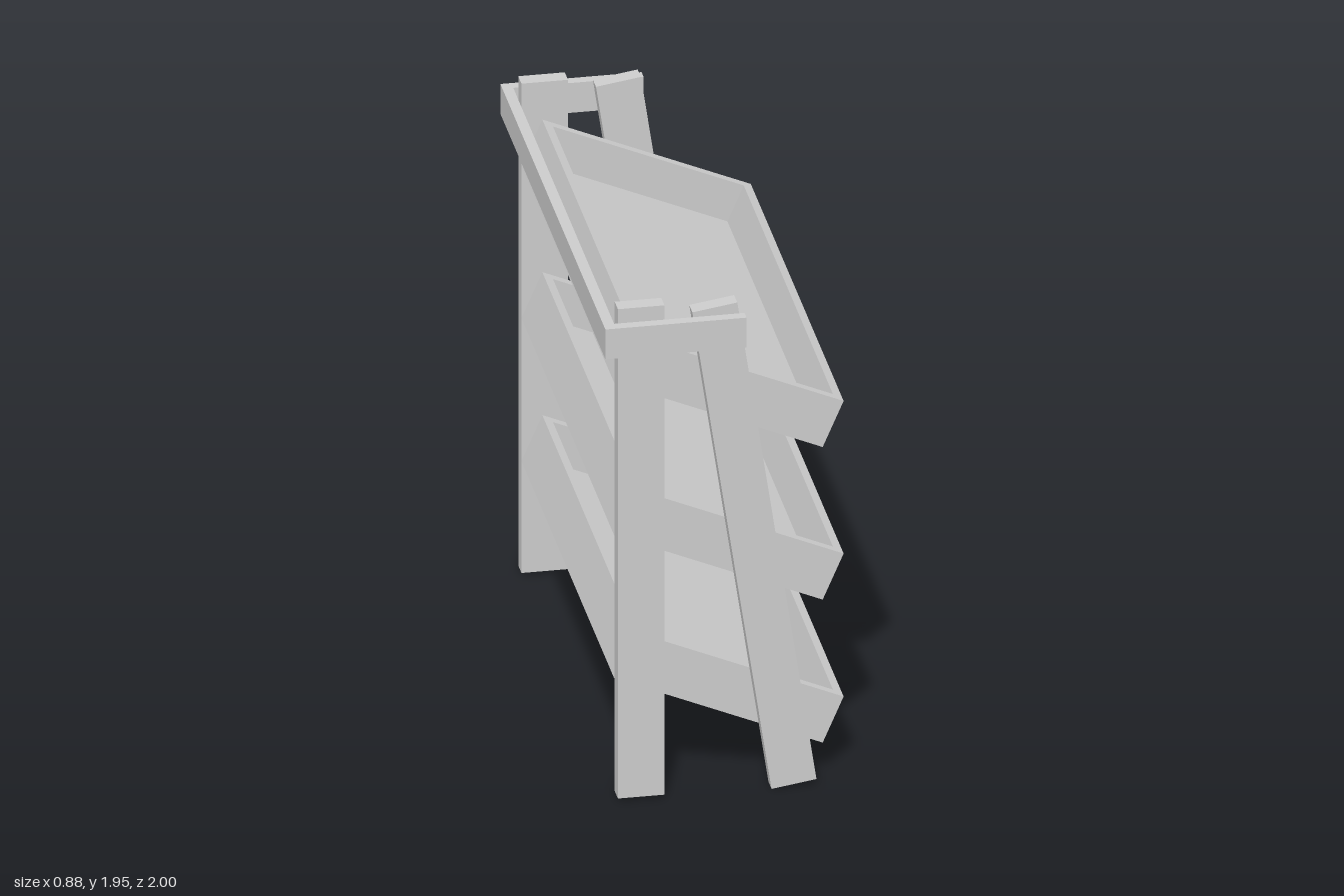
import * as THREE from 'three';

const material = new THREE.MeshStandardMaterial({
  color: 0xcccccc, flatShading: true, side: THREE.DoubleSide,
});
const TOP = 2, BOTTOM = 3; // side numbers of a box

// Box with some of its six sides left open
function openBox(name, w, h, d, openSides) {
  const geometry = new THREE.BoxGeometry(w, h, d);
  const index = Array.from(geometry.index.array);
  geometry.setIndex(index.filter((_, i) => !openSides.includes(Math.floor(i / 6))));
  geometry.clearGroups();
  const mesh = new THREE.Mesh(geometry, material);
  mesh.name = name;
  return mesh;
}

// Leg with an open foot
function makeLeg(name, w, h, x, y, z, tilt) {
  const leg = openBox(name, w, h, 0.061, [BOTTOM]);
  leg.position.set(x, y, z);
  leg.rotation.z = tilt;
  return leg;
}

// Rectangle centred on the origin
function rectangle(w, h, PathType) {
  const p = new PathType();
  p.moveTo(-w / 2, -h / 2);
  p.lineTo(w / 2, -h / 2);
  p.lineTo(w / 2, h / 2);
  p.lineTo(-w / 2, h / 2);
  p.closePath();
  return p;
}

// Tray tipped towards +x: outer skirt open below, flat rim, sunken inner pan
function makeTray(y) {
  const length = 0.82, width = 1.768, height = 0.191, wall = 0.035, depth = 0.149;
  const tray = new THREE.Group();
  tray.name = 'tray';

  const skirt = openBox('traySkirt', length, height, width, [TOP, BOTTOM]);
  const pan = openBox('trayPan', length - 2 * wall, depth, width - 2 * wall, [TOP]);
  pan.position.y = (height - depth) / 2;

  const outline = rectangle(length, width, THREE.Shape);
  outline.holes.push(rectangle(length - 2 * wall, width - 2 * wall, THREE.Path));
  const rim = new THREE.Mesh(new THREE.ShapeGeometry(outline), material);
  rim.name = 'trayRim';
  rim.rotation.x = -Math.PI / 2;
  rim.position.y = height / 2;

  tray.add(skirt, pan, rim);
  tray.position.set(0.026, y, 0);
  tray.rotation.z = -THREE.MathUtils.degToRad(23.3);
  return tray;
}

export function createModel() {
  const stand = new THREE.Group();
  stand.name = 'tieredTrayStand';

  // Upright back legs and leaning front legs
  for (const side of [1, -1]) {
    const z = side * 0.9185;
    stand.add(makeLeg('backLeg', 0.168, 1.937, -0.303, 0.981, z, 0));
    stand.add(makeLeg('frontLeg', 0.164, 1.934, 0.106, 0.968, z, THREE.MathUtils.degToRad(8.5)));
  }

  // Tilted trays
  for (const y of [0.383, 0.949, 1.553]) stand.add(makeTray(y));

  // U-shaped rail around the top
  const rail = new THREE.Shape();
  [[-0.442, -1], [0.068, -1], [0.068, -0.961], [-0.403, -0.961],
    [-0.403, 0.961], [0.068, 0.961], [0.068, 1], [-0.442, 1]]
    .forEach(([x, z], i) => (i ? rail.lineTo(x, z) : rail.moveTo(x, z)));
  const railGeometry = new THREE.ExtrudeGeometry(rail, { depth: 0.118, bevelEnabled: false });
  const topRail = new THREE.Mesh(railGeometry, material);
  topRail.name = 'topRail';
  topRail.rotation.x = -Math.PI / 2;
  topRail.position.y = 1.781;
  stand.add(topRail);

  return stand;
}
